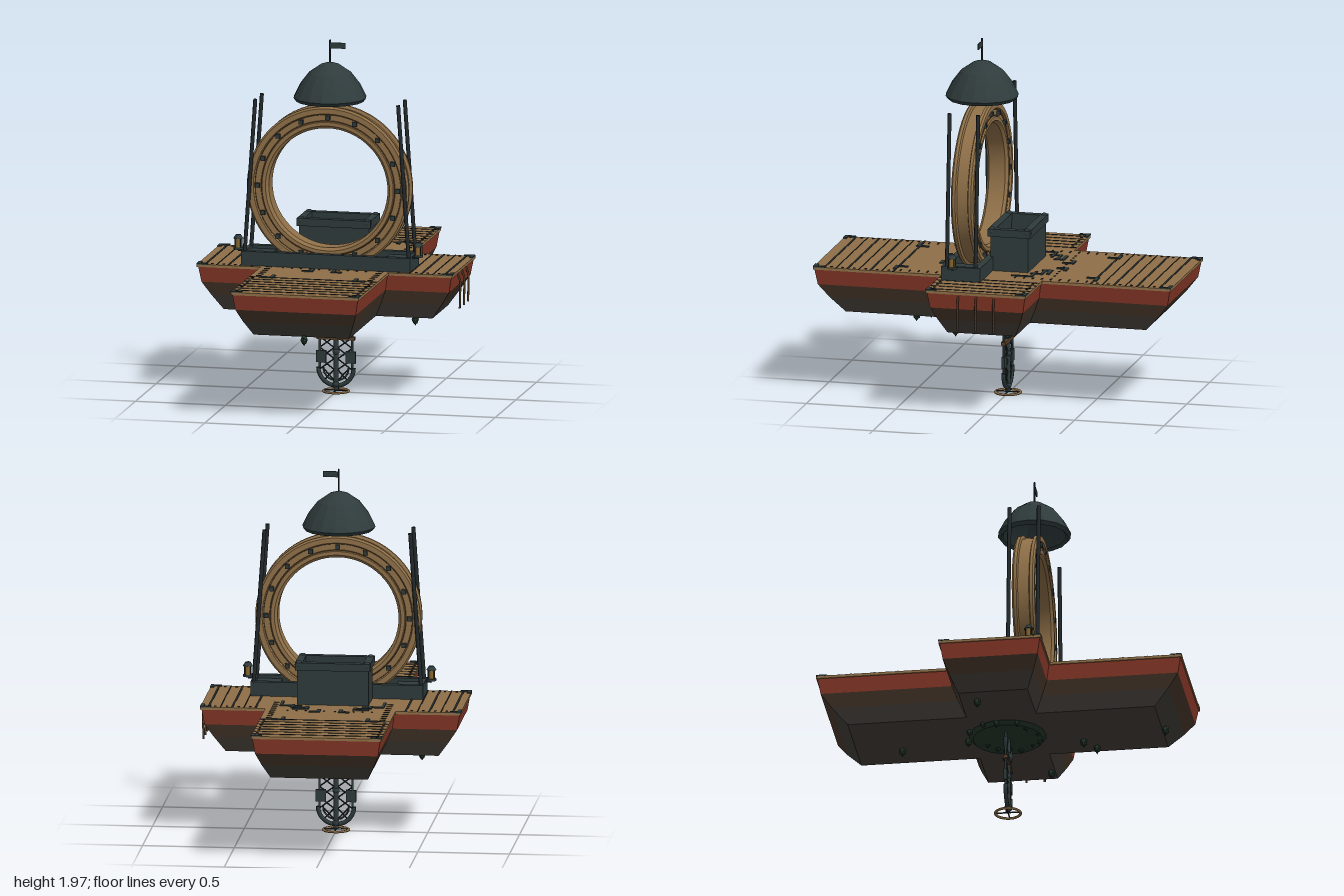
import * as THREE from 'three';
import { toCreasedNormals } from 'three/addons/utils/BufferGeometryUtils.js';

const mat = (name, color, extra = {}) => {
  const m = new THREE.MeshStandardMaterial({ color, ...extra });
  m.name = name;
  return m;
};

export function createModel() {
  const wood = mat('wood', 0x8f7048);
  const darkWood = mat('dark wood', 0x5a4128);
  const red = mat('red paint', 0x8a3828);
  const hullBrown = mat('hull brown', 0x4a3a2c);
  const keelGrey = mat('keel grey', 0x45403a);
  const slate = mat('slate', 0x2f3b3c, { side: THREE.DoubleSide });
  const iron = mat('iron', 0x23292b);
  const moss = mat('moss', 0x24382a, { flatShading: true });
  const amber = mat('amber', 0x8a6a30);

  const root = new THREE.Group();
  const group = (name) => {
    const g = new THREE.Group();
    g.name = name;
    root.add(g);
    return g;
  };
  const add = (parent, name, geo, m, x = 0, y = 0, z = 0) => {
    const mesh = new THREE.Mesh(geo, m);
    mesh.name = name;
    mesh.position.set(x, y, z);
    parent.add(mesh);
    return mesh;
  };
  const box = (p, name, m, w, h, d, x, y, z) => add(p, name, new THREE.BoxGeometry(w, h, d), m, x, y, z);
  const rod = (p, name, m, a, b, r, sides = 6) => {
    const A = new THREE.Vector3(...a), B = new THREE.Vector3(...b);
    const mesh = add(p, name, new THREE.CylinderGeometry(r, r, A.distanceTo(B), sides), m);
    mesh.position.copy(A).add(B).multiplyScalar(0.5);
    mesh.quaternion.setFromUnitVectors(new THREE.Vector3(0, 1, 0), B.sub(A).normalize());
    return mesh;
  };

  // Cross-shaped outline, with ends and sides drawn in
  const cross = (ex, ez, s) => {
    const A = 0.71 - ex, B = 0.28 - s, C = 0.355 - s, D = 1 - ez;
    return [[A, -B], [A, B], [C, B], [C, D], [-C, D], [-C, B], [-A, B], [-A, -B], [-C, -B], [-C, -D], [C, -D], [C, -B]];
  };
  const crossShape = (pts) => new THREE.Shape(pts.map(([x, z]) => new THREE.Vector2(x, z)));

  // Hull in stacked bands
  const hull = group('hull');
  const levels = [
    { y: 0.724, pts: cross(0.006, 0.006, 0.006) },
    { y: 0.635, pts: cross(0.022, 0.022, 0.02) },
    { y: 0.56, pts: cross(0.07, 0.08, 0.05) },
    { y: 0.475, pts: cross(0.13, 0.16, 0.09) },
  ];
  [['red band', red], ['upper side', hullBrown], ['lower side', keelGrey]].forEach(([name, m], k) => {
    const top = levels[k], low = levels[k + 1], v = [];
    top.pts.forEach((p, i) => {
      const j = (i + 1) % 12, n = top.pts[j], q = low.pts[i], r = low.pts[j];
      const P = [p[0], top.y, p[1]], N = [n[0], top.y, n[1]], Q = [q[0], low.y, q[1]], R = [r[0], low.y, r[1]];
      v.push(...P, ...N, ...Q, ...N, ...R, ...Q);
    });
    const g = new THREE.BufferGeometry();
    g.setAttribute('position', new THREE.Float32BufferAttribute(v, 3));
    g.computeVertexNormals();
    add(hull, name, g, m);
  });
  add(hull, 'hull bottom', new THREE.ShapeGeometry(crossShape(levels[3].pts)).rotateX(Math.PI / 2), keelGrey, 0, 0.475, 0);

  // Deck, plank seams and nails
  const deck = group('deck');
  add(deck, 'deck boards', new THREE.ExtrudeGeometry(crossShape(cross(0, 0, 0)), { depth: 0.015, bevelEnabled: false }).rotateX(Math.PI / 2), wood, 0, 0.735, 0);
  for (const s of [-1, 1]) {
    for (let i = 0; i < 7; i++) {
      const z = s * (0.937 - i * 0.064);
      box(deck, 'plank seam', iron, 0.71, 0.003, i % 2 ? 0.006 : 0.011, 0, 0.7355, z);
      for (const t of [-1, 1]) box(deck, 'nail', iron, 0.012, 0.004, 0.012, t * 0.33, 0.736, z + s * 0.03);
    }
    for (let i = 0; i < 5; i++) {
      const x = s * (0.665 - i * 0.064);
      box(deck, 'plank seam', iron, i % 2 ? 0.006 : 0.011, 0.003, 0.56, x, 0.7355, 0);
      for (const t of [-1, 1]) box(deck, 'nail', iron, 0.012, 0.004, 0.012, x + s * 0.03, 0.736, t * 0.25);
    }
    for (let i = 0; i < 9; i++) for (const t of [-1, 1]) {
      box(deck, 'nail', iron, 0.03, 0.004, 0.008, s * 0.31, 0.736, t * (0.12 + i * 0.05));
      if (i < 5) box(deck, 'nail', iron, 0.01, 0.004, 0.01, s * (0.03 + i * 0.05), 0.736, t * 0.3 - 0.02);
    }
  }

  // L-shaped brackets: corner point, then signed leg lengths
  const bracket = (x, z, lx, lz, t = 0.02) => {
    box(deck, 'bracket leg', slate, Math.abs(lx), 0.008, t, x + lx / 2, 0.737, z + Math.sign(lz) * t / 2);
    box(deck, 'bracket leg', slate, t, 0.008, Math.abs(lz), x + Math.sign(lx) * t / 2, 0.737, z + lz / 2);
  };
  for (const s of [-1, 1]) {
    for (const t of [-1, 1]) {
      bracket(s * 0.356, t * 1, -s * 0.06, -t * 0.06);
      bracket(s * 0.711, t * 0.281, -s * 0.06, -t * 0.06);
      bracket(s * 0.22, t * 0.57, s * 0.07, -t * 0.07);
      bracket(s * 0.05, t * 0.355, s * 0.06, -t * 0.065);
    }
    bracket(s * 0.12, -0.285, s * 0.09, 0.06);
    bracket(s * 0.285, -0.21, -s * 0.12, 0.12, 0.015);
    bracket(s * 0.22, -0.25, -s * 0.08, 0.07, 0.015);
  }

  // Ring and its studs
  const ringGroup = group('ring');
  ringGroup.position.set(0, 1.17, 0.145);
  const half = [[0.33, 0.045], [0.345, 0.06], [0.365, 0.06], [0.37, 0.046], [0.405, 0.046], [0.412, 0.062], [0.44, 0.062], [0.45, 0.052], [0.45, 0.036], [0.435, 0.03]];
  const profile = [...half.map(([r, z]) => [r, -z]), ...half.slice().reverse(), [0.33, -0.045]].map(([r, z]) => new THREE.Vector2(r, z));
  add(ringGroup, 'ring body', toCreasedNormals(new THREE.LatheGeometry(profile, 64).rotateX(Math.PI / 2), 0.5), wood);
  for (const s of [-1, 1]) {
    for (const r of [0.369, 0.408]) add(ringGroup, 'ring groove', new THREE.TorusGeometry(r, 0.004, 4, 64), darkWood, 0, 0, s * 0.048);
    for (let i = 0; i < 16; i++) {
      const a = i * Math.PI / 8;
      box(ringGroup, 'ring stud', slate, 0.024, 0.024, 0.02, Math.cos(a) * 0.39, Math.sin(a) * 0.39, s * 0.055);
    }
  }

  // Trough around the foot of the ring, with poles and lanterns
  const base = group('base');
  for (const s of [-1, 1]) {
    box(base, 'base rail', slate, 0.94, 0.08, 0.036, 0, 0.773, 0.145 + s * 0.092);
    box(base, 'base end', slate, 0.022, 0.08, 0.2, s * 0.459, 0.773, 0.145);
    box(base, 'base end panel', slate, 0.14, 0.06, 0.16, s * 0.385, 0.765, 0.145);
    for (const z of [0.065, 0.225]) rod(base, 'pole', iron, [s * 0.457, 0.79, z], [s * 0.397, 1.65, z], 0.011, 8);
    const lantern = new THREE.Group();
    lantern.name = 'lantern';
    lantern.position.set(s * 0.5, 0.81, 0.185);
    base.add(lantern);
    const disc = (name, m, r1, r2, h, y) => add(lantern, name, new THREE.CylinderGeometry(r1, r2, h, 8), m, 0, y, 0);
    disc('lantern foot', slate, 0.027, 0.027, 0.012, 0.006);
    disc('lantern glass', amber, 0.02, 0.02, 0.05, 0.035);
    disc('lantern cap', slate, 0.014, 0.028, 0.022, 0.07);
    for (let i = 0; i < 4; i++) {
      const a = Math.PI / 4 + i * Math.PI / 2, x = Math.cos(a) * 0.022, z = Math.sin(a) * 0.022;
      rod(lantern, 'lantern bar', iron, [x, 0, z], [x, 0.065, z], 0.003, 4);
    }
    box(lantern, 'lantern arm', iron, 0.04, 0.01, 0.012, -s * 0.02, -0.006, 0);
  }

  // Open crate
  const crate = group('crate');
  for (const s of [-1, 1]) {
    box(crate, 'crate long wall', slate, 0.39, 0.2, 0.025, 0, 0.83, -0.057 + s * 0.092);
    box(crate, 'crate short wall', slate, 0.025, 0.2, 0.2, s * 0.182, 0.83, -0.057);
    box(crate, 'crate long rim', slate, 0.41, 0.042, 0.04, 0, 0.948, -0.057 + s * 0.098);
    box(crate, 'crate short rim', slate, 0.04, 0.042, 0.2, s * 0.185, 0.948, -0.057);
    for (const t of [-1, 1]) add(crate, 'rim knob', new THREE.SphereGeometry(0.024, 8, 6), slate, s * 0.185, 0.955, -0.057 + t * 0.098);
  }

  // Floating canopy with spire and flag
  const canopy = group('canopy');
  canopy.position.z = 0.145;
  const dome = [[0.17, 1.66], [0.185, 1.645], [0.2, 1.665], [0.165, 1.735], [0.115, 1.8], [0.05, 1.845], [0, 1.86]];
  add(canopy, 'canopy roof', toCreasedNormals(new THREE.LatheGeometry(dome.map(([r, y]) => new THREE.Vector2(r, y)), 16), 0.3), slate);
  rod(canopy, 'spire', iron, [0, 1.84, 0], [0, 1.98, 0], 0.005);
  box(canopy, 'flag', slate, 0.085, 0.032, 0.006, 0.043, 1.95, 0);

  // Hanging fenders on the left side only
  const fenders = group('fenders');
  for (const z of [-0.1, 0, 0.1]) {
    const path = new THREE.CatmullRomCurve3([[0.7, 0.71], [0.713, 0.67], [0.713, 0.6], [0.711, 0.52]].map(([x, y]) => new THREE.Vector3(x, y, z)));
    add(fenders, 'fender', new THREE.TubeGeometry(path, 10, 0.006, 6), darkWood);
  }

  // Mossy plate and growths under the hull
  const growth = group('underside growth');
  add(growth, 'moss plate', new THREE.CylinderGeometry(0.21, 0.19, 0.024, 20), moss, 0, 0.465, 0);
  const lump = (x, z, r) => {
    const m = add(growth, 'moss lump', new THREE.IcosahedronGeometry(r, 0), moss, x, 0.462, z);
    m.scale.y = 1.3;
    add(growth, 'lump tip', new THREE.ConeGeometry(r * 0.8, r * 1.3, 6).rotateX(Math.PI), moss, x, 0.462 - r * 1.0, z);
  };
  [[0.02, 0.86], [0.09, -0.59], [0.11, 0.4], [0.2, 0.46], [-0.48, -0.1], [0.48, 0.17]].forEach(([x, z]) => lump(x, z, 0.021));
  for (let i = 0; i < 14; i++) {
    const a = i * 2.4, r = 0.13 + 0.09 * ((i * 7) % 5) / 4;
    lump(Math.cos(a) * r, Math.sin(a) * r, 0.014 + 0.003 * (i % 3));
  }

  // Flat lattice frame hanging below
  const pendant = group('pendant');
  const arc = (name, m, r, y, start, sweep, tube) => {
    const t = add(pendant, name, new THREE.TorusGeometry(r, tube, 6, 24, sweep), m, 0, y, 0);
    t.rotation.z = start;
  };
  arc('lower arch', slate, 0.098, 0.14, Math.PI, Math.PI, 0.012);
  arc('inner arch', slate, 0.07, 0.14, Math.PI, Math.PI, 0.005);
  arc('upper arch', slate, 0.098, 0.425, Math.PI, Math.PI, 0.012);
  arc('upper hoop', slate, 0.055, 0.39, 0, Math.PI * 2, 0.008);
  rod(pendant, 'centre post', slate, [0, 0.02, 0], [0, 0.46, 0], 0.014, 8);
  for (const s of [-1, 1]) {
    rod(pendant, 'side post', slate, [s * 0.09, 0.14, 0], [s * 0.09, 0.46, 0], 0.007);
    box(pendant, 'side plate', slate, 0.055, 0.065, 0.018, s * 0.082, 0.2, 0);
    for (let i = 0; i < 6; i++) {
      const y = 0.07 + i * 0.06, w = i ? 0.09 : 0.065;
      rod(pendant, 'lattice bar', iron, [s * 0.01, y, 0], [s * w, y + 0.06, 0], 0.004, 4);
      rod(pendant, 'lattice bar', iron, [s * w, y, 0], [s * 0.01, y + 0.06, 0], 0.004, 4);
    }
  }
  box(pendant, 'cross bar', darkWood, 0.21, 0.018, 0.026, 0, 0.305, 0);
  for (const y of [0.345, 0.23, 0.05]) add(pendant, 'post knob', new THREE.SphereGeometry(y > 0.3 ? 0.03 : 0.02, 8, 6), slate, 0, y, 0);
  add(pendant, 'bottom hoop', new THREE.TorusGeometry(0.068, 0.009, 6, 24).rotateX(Math.PI / 2).scale(1, 0.7, 1), wood, 0, 0.0125, 0);
  for (const a of [0, Math.PI / 2]) box(pendant, 'hoop spoke', iron, 0.13, 0.006, 0.006, 0, 0.016, 0).rotation.y = a;

  // Set the lowest point on the ground
  root.position.y = -new THREE.Box3().setFromObject(root).min.y;
  return root;
}
